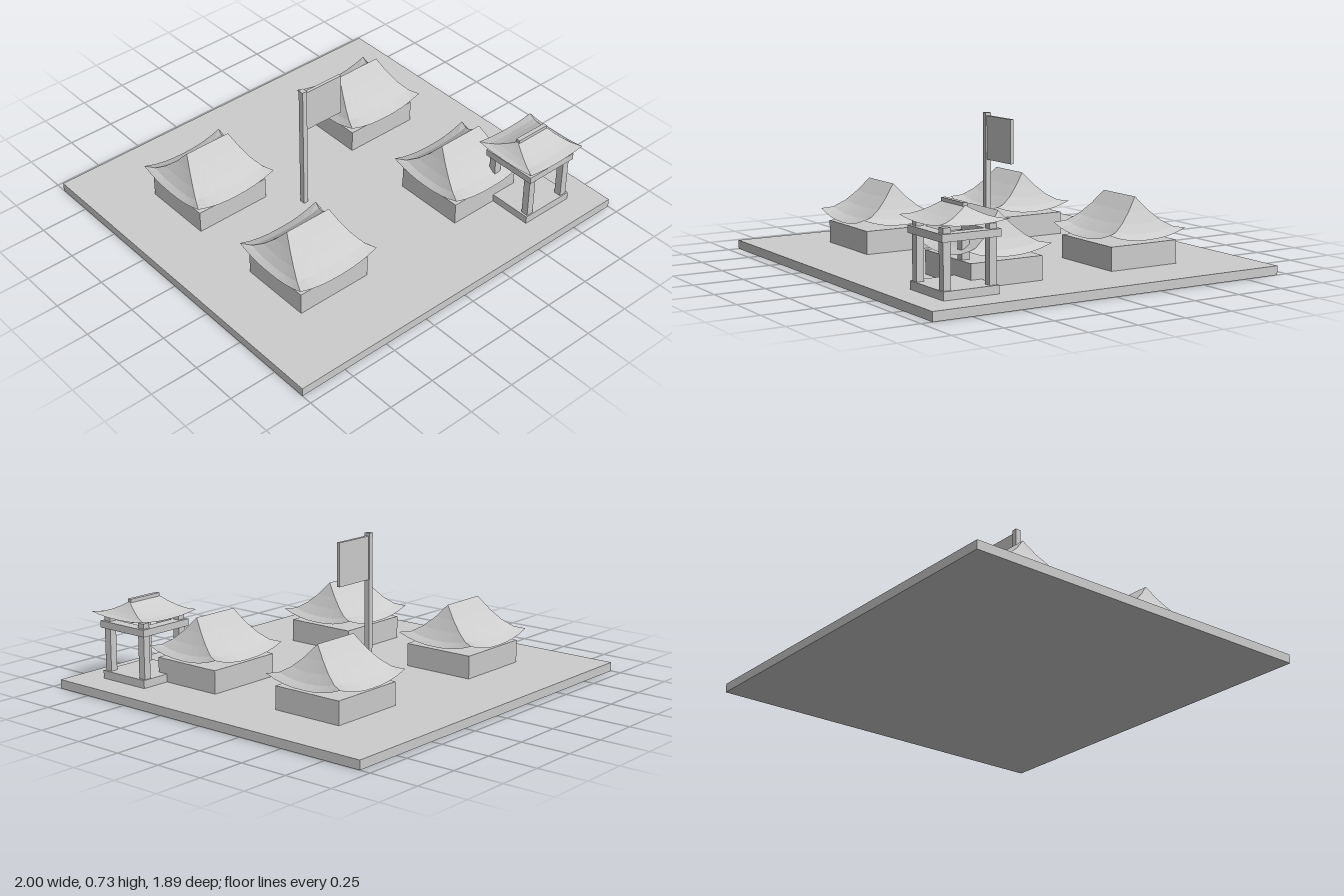
import * as THREE from 'three';
import { mergeGeometries } from 'three/addons/utils/BufferGeometryUtils.js';

export function createModel() {
  const stone = new THREE.MeshStandardMaterial({ color: 0xcccccc, flatShading: true, side: THREE.DoubleSide });
  stone.name = 'paleGrey';
  const model = new THREE.Group();
  model.name = 'courtyard';

  const add = (parent, name, geometry) => {
    const mesh = new THREE.Mesh(geometry, stone);
    mesh.name = name;
    parent.add(mesh);
    return mesh;
  };

  // Box given by its centre in x and z and its bottom and top heights
  const box = (parent, name, x, z, w, d, y0, y1) =>
    add(parent, name, new THREE.BoxGeometry(w, y1 - y0, d).translate(x, (y0 + y1) / 2, z));

  // Curved slope: ridge at t = 0, eave at t = 1, corners swept up
  function slope(ridge, eave, out0, out1, low, high, lift, turn) {
    const g = new THREE.PlaneGeometry(2, 1, 8, 4);
    const p = g.attributes.position;
    for (let i = 0; i < p.count; i++) {
      const s = p.getX(i);
      const t = 0.5 - p.getY(i);
      const y = low + (high - low) * Math.pow(1 - t, 1.45) + lift * t * t * Math.pow(Math.abs(s), 2.3);
      p.setXYZ(i, s * (ridge + (eave - ridge) * t), y, out0 + (out1 - out0) * t);
    }
    return g.rotateY(turn);
  }

  // Hipped roof with four curved slopes
  function hipRoof(hx, hz, rx, low, high, lift) {
    const parts = [];
    for (const turn of [0, Math.PI]) {
      parts.push(slope(rx, hx, 0, hz, low, high, lift, turn));
      parts.push(slope(0, hz, rx, hx, low, high, lift, turn + Math.PI / 2));
    }
    const g = mergeGeometries(parts);
    g.computeVertexNormals();
    return g;
  }

  // Ground slab
  box(model, 'ground', 0, 0, 2, 1.89, 0, 0.045);

  // Four houses
  for (const sx of [-1, 1]) for (const sz of [-1, 1]) {
    const house = new THREE.Group();
    house.name = 'house';
    house.position.set(sx * 0.492, 0, sz * 0.383);
    box(house, 'houseWalls', 0, 0, 0.408, 0.38, 0.045, 0.16);
    add(house, 'houseRoof', hipRoof(0.233, 0.222, 0.127, 0.18, 0.374, 0.04));
    model.add(house);
  }

  // Open pavilion at the front corner
  const pavilion = new THREE.Group();
  pavilion.name = 'pavilion';
  pavilion.position.set(0.7, 0, 0.66);
  box(pavilion, 'pavilionBase', 0, 0, 0.295, 0.285, 0.045, 0.085);
  for (const a of [-1, 1]) {
    for (const b of [-1, 1]) box(pavilion, 'pillar', a * 0.117, b * 0.117, 0.038, 0.038, 0.085, 0.36);
    box(pavilion, 'crossBeam', 0, a * 0.122, 0.3, 0.056, 0.3, 0.335);
    box(pavilion, 'sideBeam', a * 0.122, 0, 0.056, 0.19, 0.3, 0.335);
  }
  add(pavilion, 'pavilionRoof', hipRoof(0.178, 0.177, 0.095, 0.367, 0.443, 0.015));
  box(pavilion, 'ridgeBeam', 0, 0, 0.19, 0.022, 0.438, 0.455);
  model.add(pavilion);

  // Flag and pole
  box(model, 'flagPole', -0.163, -0.042, 0.026, 0.03, 0.045, 0.725);
  box(model, 'flag', -0.042, -0.042, 0.224, 0.018, 0.49, 0.71);

  return model;
}
